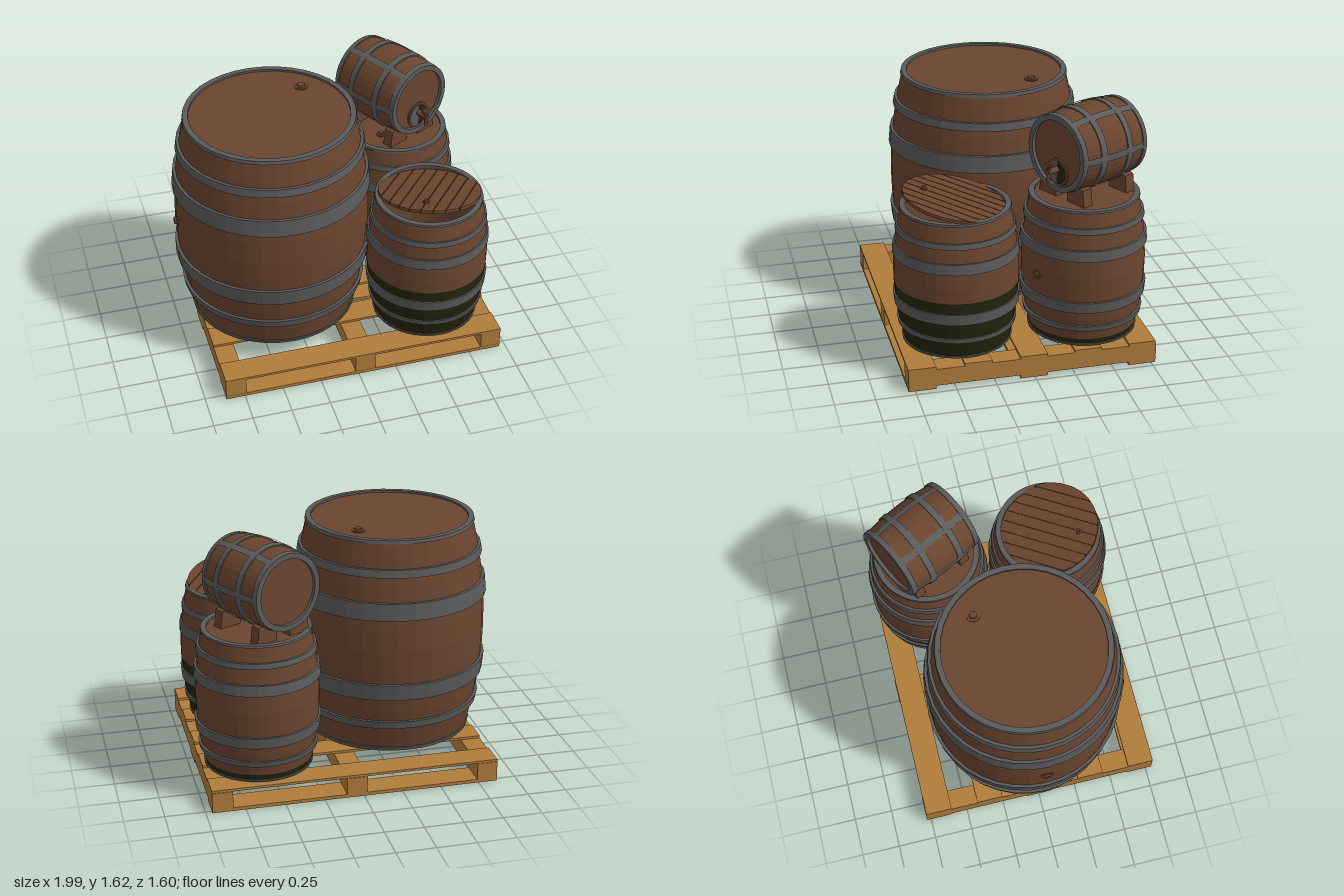
import * as THREE from 'three';

const mat = (name, color, flat = false) => {
  const m = new THREE.MeshStandardMaterial({ color, flatShading: flat, side: THREE.DoubleSide });
  m.name = name;
  return m;
};
const oak = mat('oak', 0x6b452f, true);
const iron = mat('iron', 0x5b5b5b, true);
const moss = mat('moss', 0x23250c, true);
const pine = mat('pine', 0xb07d3c, true);

const SEG = 36;

function add(parent, name, geometry, material, x = 0, y = 0, z = 0) {
  const m = new THREE.Mesh(geometry, material);
  m.name = name;
  m.position.set(x, y, z);
  parent.add(m);
  return m;
}

const lathe = (pts, seg = SEG, start = 0, len = Math.PI * 2) =>
  new THREE.LatheGeometry(pts.map(([r, y]) => new THREE.Vector2(r, y)), seg, start, len);

// Barrel from y = 0 to h, bulging from radius end to radius mid
function barrel(name, { h, end, mid, hoops, thick = 0.014, recess = 0.012, mossTo = 0, rim = 0.02 }) {
  const g = new THREE.Group();
  g.name = name;
  const radius = y => end + (mid - end) * (1 - (2 * y / h - 1) ** 2);
  const wall = (a, b, n, offset = 0) => Array.from({ length: n + 1 }, (_, i) => {
    const y = a + (b - a) * i / n;
    return [radius(y) + offset, y];
  });
  const inner = end - 0.025;
  const foot = [[0, 0.02], [inner, 0.02], [inner, 0], [end, 0]];
  const head = [[end, h], [inner, h], [inner, h - recess], [0, h - recess]];
  if (mossTo > 0) {
    add(g, 'mossyStaves', lathe([...foot, ...wall(0, mossTo, 4)]), moss);
    add(g, 'staves', lathe([...wall(mossTo, h, 6), ...head]), oak);
  } else {
    add(g, 'staves', lathe([...foot, ...wall(0, h, 10), ...head]), oak);
  }
  // Iron hoops follow the bulge
  hoops.forEach(([a, b]) => {
    const o = wall(a, b, 1, thick);
    const i = wall(a, b, 1, -0.01);
    add(g, 'hoop', lathe([...o, i[1], i[0], o[0]]), iron);
  });
  // End rims
  [[-0.002, rim], [h - rim, h + 0.002]].forEach(([a, b]) => {
    const r0 = radius(Math.max(a, 0)) + 0.008, r1 = radius(Math.min(b, h)) + 0.008;
    add(g, 'rim', lathe([[r0, a], [r1, b], [inner - 0.002, b], [inner - 0.002, a], [r0, a]]), iron);
  });
  g.userData.wall = wall;
  return g;
}

// Round stopper with a raised collar, pointing up
function bung(r) {
  const g = new THREE.Group();
  g.name = 'bung';
  add(g, 'collar', new THREE.CylinderGeometry(r, r, 0.01, 16), oak, 0, 0.002, 0);
  add(g, 'plug', new THREE.CylinderGeometry(r * 0.55, r * 0.65, 0.025, 12), oak, 0, 0.008, 0);
  return g;
}

function sideBung(parent, r, y, angle, size) {
  const b = bung(size);
  b.rotation.set(0, -angle, -Math.PI / 2);
  b.position.set(Math.cos(angle) * r, y, Math.sin(angle) * r);
  parent.add(b);
}

function makePallet() {
  const g = new THREE.Group();
  g.name = 'pallet';
  for (const x of [-0.805, 0.045, 0.895])
    add(g, 'stringer', new THREE.BoxGeometry(0.13, 0.112, 1.57), pine, x, 0.078, 0.005);
  for (const z of [-0.69, -0.34, 0.005, 0.355, 0.705])
    add(g, 'topBoard', new THREE.BoxGeometry(1.83, 0.016, 0.172), pine, 0.045, 0.142, z);
  for (const z of [-0.69, 0.005, 0.705])
    add(g, 'bottomBoard', new THREE.BoxGeometry(1.83, 0.022, 0.172), pine, 0.045, 0.011, z);
  return g;
}

// Loose round lid made of planks
function makeLid(R) {
  const g = new THREE.Group();
  g.name = 'looseLid';
  const planks = new THREE.Group();
  planks.name = 'planks';
  planks.rotation.y = 0.95;
  g.add(planks);
  const count = 9, w = 2 * R / count;
  for (let i = 0; i < count; i++) {
    const v0 = -R + i * w + 0.003, v1 = v0 + w - 0.006;
    const s = new THREE.Shape(), edge = [];
    for (let k = 0; k <= 4; k++) {
      const v = v0 + (v1 - v0) * k / 4;
      edge.push([Math.sqrt(Math.max(0, R * R - v * v)), v]);
    }
    edge.forEach(([x, v], k) => (k ? s.lineTo(x, v) : s.moveTo(x, v)));
    edge.reverse().forEach(([x, v]) => s.lineTo(-x, v));
    s.closePath();
    const geo = new THREE.ExtrudeGeometry(s, { depth: 0.02, bevelEnabled: false });
    add(planks, 'plank', geo.rotateX(-Math.PI / 2), oak);
  }
  add(g, 'backing', new THREE.CylinderGeometry(R - 0.01, R - 0.01, 0.012, SEG), oak, 0, 0.008, 0);
  const b = bung(0.022);
  b.position.set(-0.085, 0.02, 0.18);
  g.add(b);
  return g;
}

// Small cask lying along local z, with straps, tap and chocks
function makeCask() {
  const g = new THREE.Group();
  g.name = 'tappedCask';
  const h = 0.53;
  const body = barrel('cask', { h, end: 0.235, mid: 0.256, thick: 0.008, recess: 0.02, rim: 0.032,
    hoops: [[0.135, 0.178], [0.352, 0.395]] });
  for (let k = 0; k < 6; k++) {
    const a = Math.PI / 2 + k * Math.PI / 3;
    add(body, 'strap', lathe(body.userData.wall(0.02, h - 0.02, 8, 0.007), 2, a - 0.085, 0.17), iron);
  }
  body.rotation.x = Math.PI / 2;
  body.position.z = -h / 2;
  g.add(body);

  // Tap on the front head
  const tap = new THREE.Group();
  tap.name = 'tap';
  tap.position.set(0.005, -0.12, h / 2 - 0.02);
  g.add(tap);
  const rod = (name, r0, r1, len, m, x, y, z, along) => {
    const geo = new THREE.CylinderGeometry(r0, r1, len, 16);
    if (along) geo.rotateX(Math.PI / 2);
    add(tap, name, geo, m, x, y, z);
  };
  rod('tapCollar', 0.088, 0.088, 0.012, oak, 0, 0, 0.004, true);
  rod('tapPlate', 0.074, 0.074, 0.006, iron, 0, 0, 0.011, true);
  add(tap, 'tapMoss', new THREE.CircleGeometry(0.073, 16, -Math.PI / 2, Math.PI), moss, 0, 0, 0.016);
  rod('tapPipe', 0.018, 0.02, 0.085, oak, 0, 0.02, 0.05, true);
  rod('tapSpout', 0.015, 0.011, 0.08, oak, 0, -0.005, 0.085);
  rod('tapStem', 0.009, 0.009, 0.04, oak, 0, 0.045, 0.075);
  add(tap, 'tapHandle', new THREE.BoxGeometry(0.055, 0.018, 0.018), oak, 0, 0.062, 0.075);

  // Wedge chocks under both sides
  for (const sx of [-1, 1]) for (const z of [-0.18, 0.18]) {
    const s = new THREE.Shape();
    [[0.05, -0.31], [0.2, -0.31], [0.185, -0.2], [0.16, -0.192], [0.1, -0.232], [0.05, -0.25]]
      .forEach(([x, y], i) => (i ? s.lineTo(sx * x, y) : s.moveTo(sx * x, y)));
    s.closePath();
    add(g, 'chock', new THREE.ExtrudeGeometry(s, { depth: 0.07, bevelEnabled: false }), oak, 0, 0, z - 0.035);
  }
  return g;
}

export function createModel() {
  const root = new THREE.Group();
  root.name = 'barrelsOnPallet';
  root.add(makePallet());

  const big = barrel('largeBarrel', { h: 1.412, end: 0.53, mid: 0.62, thick: 0.018,
    hoops: [[0.175, 0.225], [0.385, 0.492], [0.922, 1.032], [1.19, 1.24]] });
  big.position.set(-0.36, 0.16, 0.01);
  const topBung = bung(0.042);
  topBung.position.set(0.27, 1.4, -0.25);
  big.add(topBung);
  sideBung(big, 0.617, 0.71, Math.PI, 0.04);
  root.add(big);

  const back = barrel('backBarrel', { h: 0.9, end: 0.335, mid: 0.388, mossTo: 0.045, rim: 0.012,
    hoops: [[0.113, 0.147], [0.245, 0.315], [0.592, 0.66], [0.762, 0.797]] });
  back.position.set(0.595, 0.16, -0.4);
  const backBung = bung(0.03);
  backBung.position.set(-0.12, 0.888, 0.09);
  back.add(backBung);
  sideBung(back, 0.386, 0.45, 1.08, 0.03);
  root.add(back);

  const front = barrel('mossyBarrel', { h: 0.885, end: 0.333, mid: 0.388, thick: 0.01, recess: 0.8,
    mossTo: 0.39, rim: 0.012, hoops: [[0.113, 0.145], [0.245, 0.318], [0.58, 0.648], [0.737, 0.772]] });
  front.position.set(0.565, 0.16, 0.405);
  root.add(front);

  const lid = makeLid(0.325);
  lid.position.set(0.565, 1.06, 0.41);
  lid.quaternion.setFromAxisAngle(new THREE.Vector3(-0.95, 0, -0.3).normalize(), 0.2);
  root.add(lid);

  const cask = makeCask();
  cask.position.set(0.567, 1.355, -0.425);
  cask.rotation.y = 0.477;
  root.add(cask);
  return root;
}
